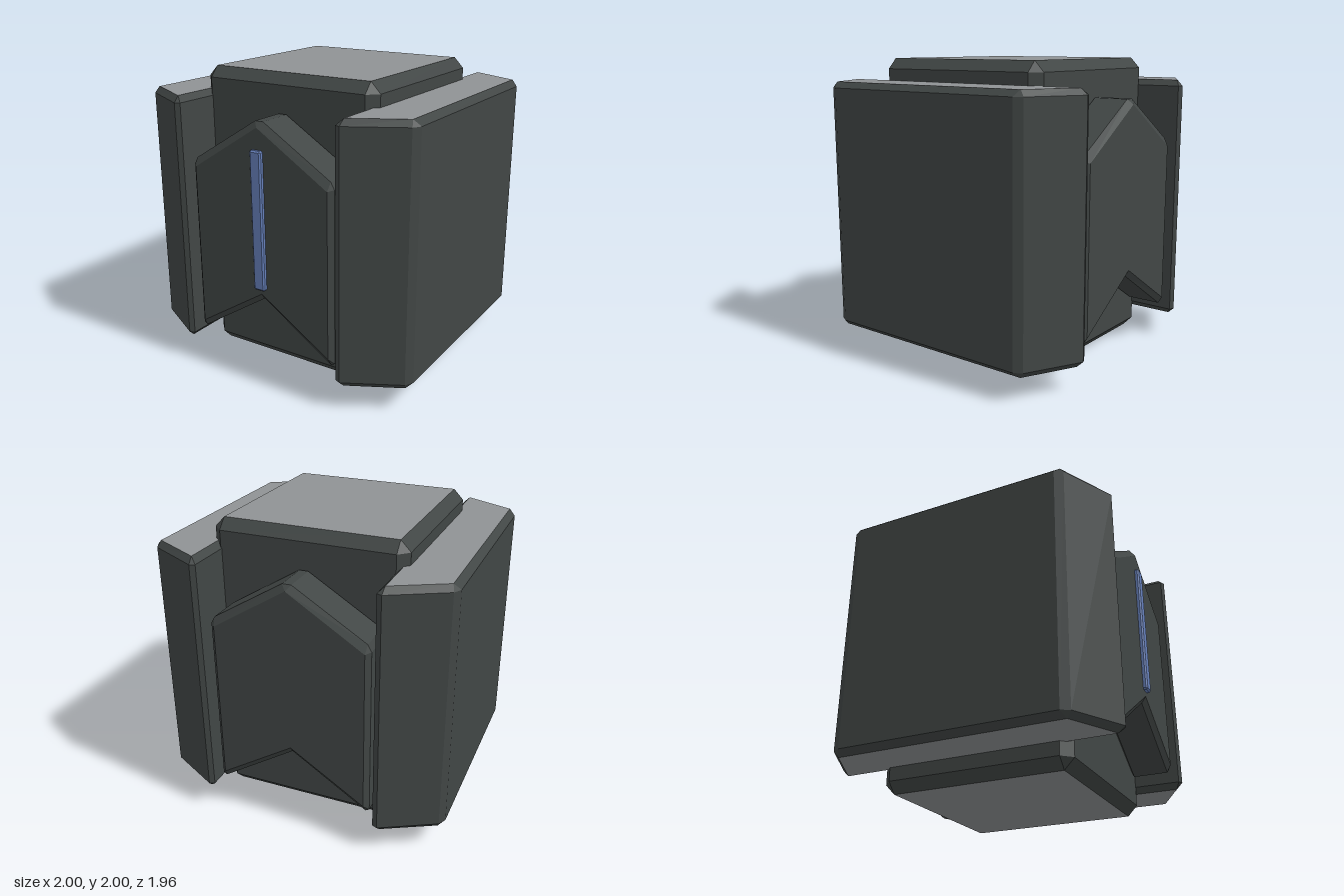
import * as THREE from 'three';

const material = (name, color) => {
  const m = new THREE.MeshStandardMaterial({ color });
  m.name = name;
  return m;
};

// Bevelled prism along z: inset end, full outline, full outline, inset end.
// Outlines run counter-clockwise; group 0 is the walls, group 1 the end caps.
function bevelledPrism(outline, inset, z0, z1, bevel0, bevel1 = bevel0) {
  const at = (pts, z) => pts.map(([x, y]) => new THREE.Vector3(x, y, z));
  const rings = [at(inset, z0), at(outline, z0 + bevel0), at(outline, z1 - bevel1), at(inset, z1)];
  const points = [];
  const triangle = (a, b, c) => {
    if (new THREE.Triangle(a, b, c).getArea() > 1e-7) points.push(a, b, c);
  };
  const n = outline.length;
  for (let r = 0; r < 3; r++) {
    for (let i = 0; i < n; i++) {
      const j = (i + 1) % n;
      triangle(rings[r][i], rings[r][j], rings[r + 1][j]);
      triangle(rings[r][i], rings[r + 1][j], rings[r + 1][i]);
    }
  }
  const wallCount = points.length;
  // Inset corners may be doubled, so the caps use each corner once
  const single = inset.filter((p, i) => {
    const q = inset[(i + 1) % n];
    return p[0] !== q[0] || p[1] !== q[1];
  });
  const low = at(single, z0), high = at(single, z1);
  const faces = THREE.ShapeUtils.triangulateShape(single.map(([x, y]) => new THREE.Vector2(x, y)), []);
  for (const [a, b, c] of faces) {
    triangle(high[a], high[b], high[c]);
    triangle(low[a], low[c], low[b]);
  }
  const geometry = new THREE.BufferGeometry().setFromPoints(points);
  geometry.addGroup(0, wallCount, 0);
  geometry.addGroup(wallCount, points.length - wallCount, 1);
  geometry.computeVertexNormals();
  return geometry;
}

// Rectangle with cut corners, and the matching inset with doubled corners
function cutRectangle(w, h, c) {
  const a = w - c, b = h - c;
  return {
    outline: [[w, -b], [w, b], [a, h], [-a, h], [-w, b], [-w, -b], [-a, -h], [a, -h]],
    inset: [[a, -b], [a, b], [a, b], [-a, b], [-a, b], [-a, -b], [-a, -b], [a, -b]],
  };
}

// Completes a half outline by mirroring it, in reverse order
const mirrorX = (half) => [...half, ...half.map(([x, y]) => [-x, y]).reverse()];
const mirrorY = (half) => [...half.map(([x, y]) => [x, -y]).reverse(), ...half];

export function createModel() {
  const dark = material('dark casing', 0x414645);
  const light = material('grey end face', 0x8f9294);
  const blue = material('blue light', 0x6680ba);
  const model = new THREE.Group();
  const add = (name, geometry, mat, turn = 0) => {
    const mesh = new THREE.Mesh(geometry, mat);
    mesh.name = name;
    mesh.rotation.y = turn;
    model.add(mesh);
  };

  // Central block with every edge chamfered
  const block = cutRectangle(0.653, 0.653, 0.067);
  add('core', bevelledPrism(block.outline, block.inset, 0, 2, 0.07).rotateX(-Math.PI / 2), [dark, light]);

  // Side armour with slanted ends, standing upright
  const sideOutline = mirrorY([[1, 0.735], [0.97, 0.79], [0.615, 0.98], [0.58, 0.965]]);
  const sideInset = mirrorY([[0.957, 0.76], [0.957, 0.76], [0.62, 0.937], [0.62, 0.937]]);
  const side = bevelledPrism(sideOutline, sideInset, 0.16, 1.85, 0.04).rotateX(-Math.PI / 2);
  add('leftSidePanel', side, [dark, light]);
  add('rightSidePanel', side, [dark, light], Math.PI);

  // Pointed plates with a notched foot, front and back
  const plateOutline = [...mirrorX([[0.512, 0.255], [0.537, 0.27], [0.537, 1.41], [0.512, 1.455], [0.03, 1.752]]), [0, 0.583]];
  const plateInset = [...mirrorX([[0.505, 0.305], [0.505, 0.305], [0.505, 1.4], [0.505, 1.4], [0, 1.718]]), [0, 0.625]];
  const plate = bevelledPrism(plateOutline, plateInset, 0.65, 0.937, 0.02, 0.03);
  add('frontPlate', plate, [dark, dark]);
  add('backPlate', plate, [dark, dark], Math.PI);

  // Glowing strip on the front plate
  const strip = cutRectangle(0.042, 0.46, 0.01);
  const stripGeometry = bevelledPrism(strip.outline, strip.inset, 0.915, 0.965, 0.01).translate(0, 1.12, 0);
  add('lightStrip', stripGeometry, [blue, blue]);

  return model;
}
